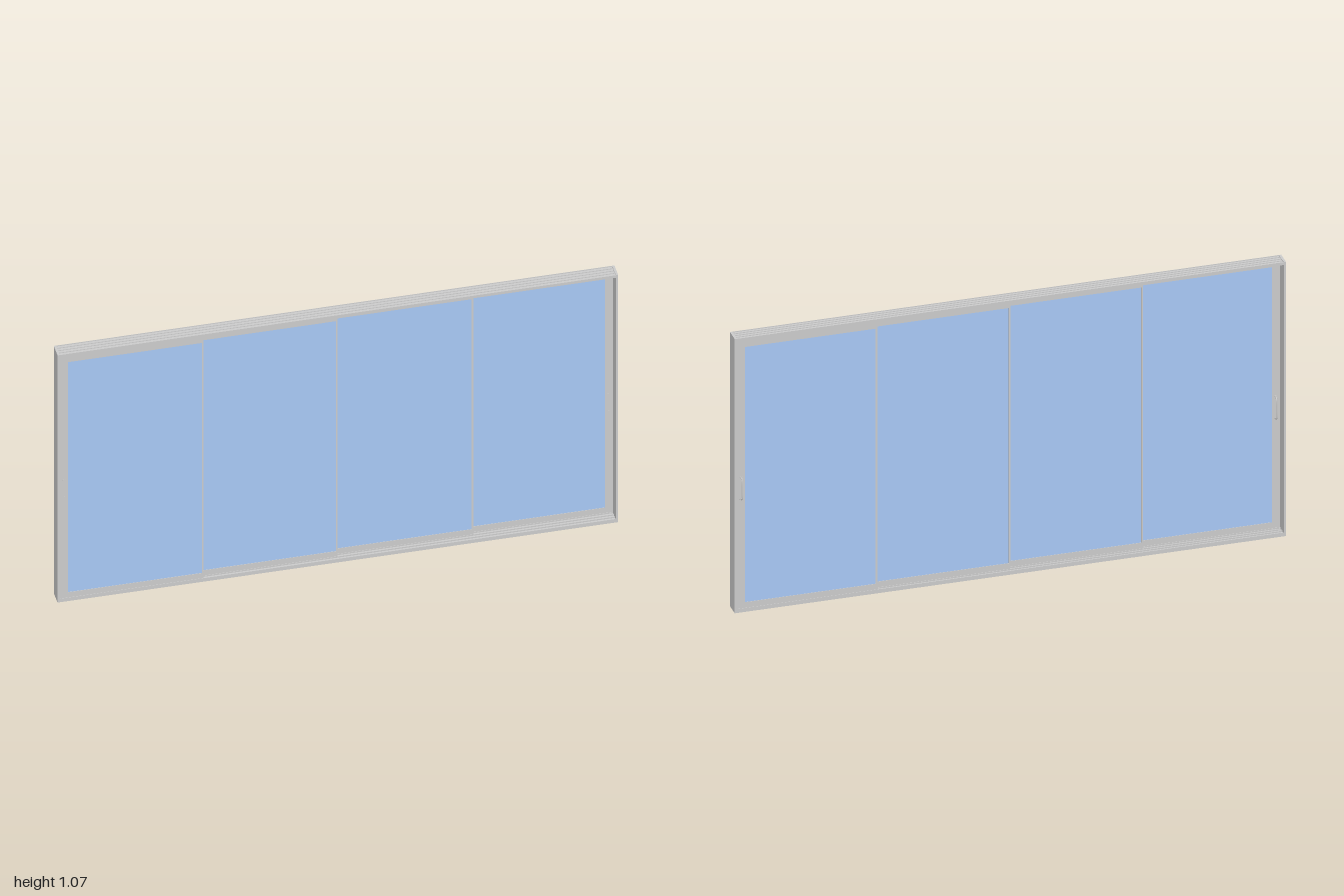
import * as THREE from 'three';

const grey = new THREE.MeshStandardMaterial({ color: 0xcccccc });
const glassBlue = new THREE.MeshStandardMaterial({ color: 0xa8c8f5 });

const HEIGHT = 1.07, FRONT = 0.036, BACK = -0.021;
const TRACKS = 4, PITCH = (FRONT - BACK) / TRACKS;

// Box given by its minimum and maximum corners
function box(parent, name, [x0, y0, z0], [x1, y1, z1], material = grey) {
  const mesh = new THREE.Mesh(new THREE.BoxGeometry(x1 - x0, y1 - y0, z1 - z0), material);
  mesh.position.set((x0 + x1) / 2, (y0 + y1) / 2, (z0 + z1) / 2);
  mesh.name = name;
  parent.add(mesh);
}

// Upright capsule outline
function capsule(path, halfHeight, r) {
  path.absarc(0, halfHeight - r, r, 0, Math.PI, false);
  path.absarc(0, r - halfHeight, r, Math.PI, Math.PI * 2, false);
  path.closePath();
  return path;
}

// Jambs, head and sill, with ribs that separate the sliding tracks
function createFrame() {
  const frame = new THREE.Group();
  frame.name = 'outerFrame';
  for (const s of [-1, 1]) {
    box(frame, 'jamb', [s < 0 ? -1 : 0.992, 0, BACK], [s < 0 ? -0.992 : 1, HEIGHT, FRONT]);
  }
  box(frame, 'head', [-0.992, 1.063, BACK], [0.992, 1.067, FRONT]);
  box(frame, 'sill', [-0.992, 0, BACK], [0.992, 0.01, FRONT]);
  const t = 0.0016;
  for (let i = 0; i <= TRACKS; i++) {
    const z = BACK + (FRONT - BACK - t) * i / TRACKS;
    box(frame, 'headTopRib', [-0.992, 1.067, z], [0.992, HEIGHT, z + t]);
    box(frame, 'headTrackRib', [-0.992, 1.059, z], [0.992, 1.063, z + t]);
    box(frame, 'sillTrackRib', [-0.992, 0.01, z], [0.992, 0.015, z + t]);
  }
  return frame;
}

// Slim flush pull on the front, bow handle on the back
function createHandles(x, front, back) {
  const handles = new THREE.Group();
  handles.name = 'handles';
  handles.position.set(x, 0.484, 0);

  const outline = capsule(new THREE.Shape(), 0.046, 0.006);
  outline.holes.push(capsule(new THREE.Path(), 0.03, 0.0032));
  const pull = new THREE.Mesh(new THREE.ExtrudeGeometry(outline,
    { depth: 0.0015, bevelEnabled: false, curveSegments: 8 }), grey);
  pull.position.z = front;
  pull.name = 'flushPull';
  handles.add(pull);

  const plate = new THREE.Mesh(new THREE.ExtrudeGeometry(capsule(new THREE.Shape(), 0.048, 0.006),
    { depth: 0.002, bevelEnabled: false, curveSegments: 8 }), grey);
  plate.position.z = back - 0.002;
  plate.name = 'handlePlate';
  handles.add(plate);

  const path = new THREE.CatmullRomCurve3([
    [-0.04, 0], [-0.041, -0.007], [-0.036, -0.0105], [0, -0.0125],
    [0.036, -0.0105], [0.041, -0.007], [0.04, 0],
  ].map(([y, z]) => new THREE.Vector3(0, y, back + z)));
  const bow = new THREE.Mesh(new THREE.TubeGeometry(path, 32, 0.003, 8), grey);
  bow.name = 'bowHandle';
  handles.add(bow);
  return handles;
}

// One sliding leaf: wide stile at a jamb, slim interlock elsewhere
function createPanel(index, x0, x1) {
  const panel = new THREE.Group();
  panel.name = 'slidingPanel';
  const zc = FRONT - PITCH * (index + 0.5), h = 0.0056;
  const y0 = 0.011, y1 = 1.0625, g0 = 0.037, g1 = 1.033;
  const left = index === 0 ? -0.963 : x0 + 0.006;
  const right = index === TRACKS - 1 ? 0.963 : x1 - 0.006;
  box(panel, 'leftStile', [x0, y0, zc - h], [left, y1, zc + h]);
  box(panel, 'rightStile', [right, y0, zc - h], [x1, y1, zc + h]);
  box(panel, 'bottomRail', [left, y0, zc - h], [right, g0, zc + h]);
  box(panel, 'topRail', [left, g1, zc - h], [right, y1, zc + h]);
  box(panel, 'glass', [left, g0, zc - 0.0042], [right, g1, zc + 0.0042], glassBlue);
  if (index === 0) panel.add(createHandles(-0.976, zc + h, zc - h));
  if (index === TRACKS - 1) panel.add(createHandles(0.976, zc + h, zc - h));
  return panel;
}

export function createModel() {
  const model = new THREE.Group();
  model.name = 'slidingDoor';
  model.add(createFrame());
  // Leaves step back one track at a time and overlap slightly
  const leftEdges = [-0.992, -0.49, -0.005, 0.482];
  const rightEdges = [-0.479, 0.003, 0.49, 0.992];
  leftEdges.forEach((x0, i) => model.add(createPanel(i, x0, rightEdges[i])));
  return model;
}
